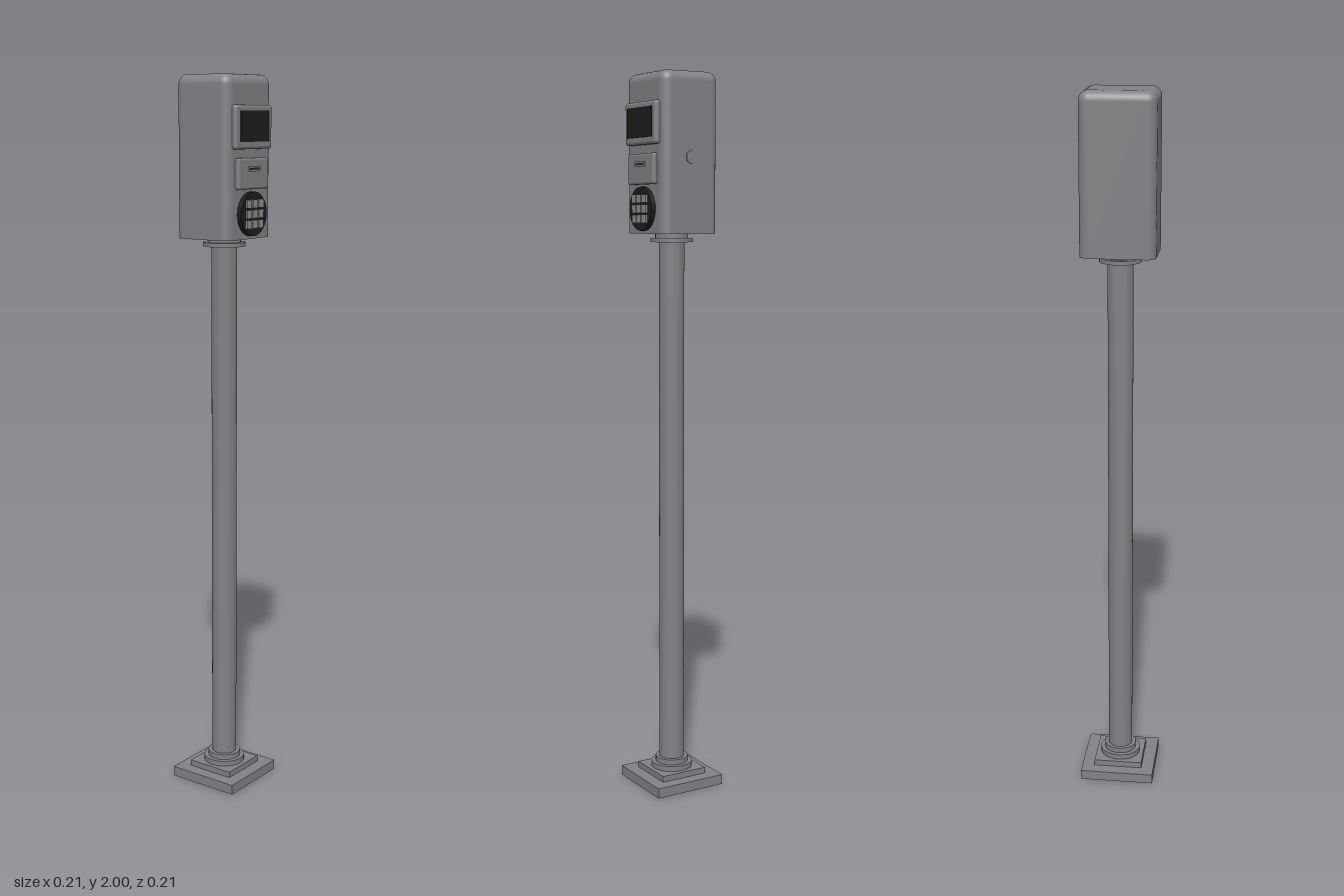
import * as THREE from 'three';
import { RoundedBoxGeometry } from 'three/addons/geometries/RoundedBoxGeometry.js';

const material = (name, color) => {
  const m = new THREE.MeshStandardMaterial({ color });
  m.name = name;
  return m;
};

// Box with rounded sides and top but a flat, sharp-edged bottom
function casingGeometry(w, h, d, r) {
  const g = new RoundedBoxGeometry(w, h + r, d, 5, r);
  const p = g.attributes.position, n = g.attributes.normal;
  const floor = -(h + r) / 2 + r;
  for (let i = 0; i < p.count; i++) if (p.getY(i) < floor) p.setY(i, floor);
  for (let i = 0; i < p.count; i += 3) {
    const flat = [0, 1, 2].every(k => p.getY(i + k) < floor + 1e-5);
    if (flat) for (let k = 0; k < 3; k++) n.setXYZ(i + k, 0, -1, 0);
  }
  return g.translate(0, -floor, 0);
}

export function createModel() {
  const model = new THREE.Group();
  model.name = 'payPost';
  const grey = material('painted grey', 0x808285);
  const plateGrey = material('base grey', 0x828287);
  const black = material('display black', 0x1b1d1d);
  const keyGrey = material('key grey', 0x8c8e90);

  const add = (name, geometry, mat, x, y, z, parent = model) => {
    const mesh = new THREE.Mesh(geometry, mat);
    mesh.name = name;
    mesh.position.set(x, y, z);
    parent.add(mesh);
    return mesh;
  };
  const box = (name, w, h, d, mat, x, y, z, parent) =>
    add(name, new THREE.BoxGeometry(w, h, d), mat, x, y, z, parent);
  const ring = (name, r, y0, y1, mat) =>
    add(name, new THREE.CylinderGeometry(r, r, y1 - y0, 32), mat, 0, (y0 + y1) / 2, 0);

  // Stepped foot
  box('basePlate', 0.212, 0.028, 0.212, plateGrey, 0, 0.014, 0);
  box('baseStep', 0.14, 0.017, 0.14, plateGrey, 0, 0.0365, 0);
  ring('footFlange', 0.058, 0.045, 0.06, grey);
  ring('footCollar', 0.046, 0.06, 0.075, grey);

  // Post and upper collar
  ring('post', 0.035, 0.07, 1.56, grey);
  ring('headFlange', 0.058, 1.547, 1.558, grey);
  ring('headCollar', 0.045, 1.555, 1.572, grey);

  // Head casing
  add('casing', casingGeometry(0.204, 0.43, 0.174, 0.026), grey, 0, 1.57, -0.001);

  // Display with its raised bezel
  add('displayBezel', new RoundedBoxGeometry(0.164, 0.114, 0.028, 3, 0.008), grey, 0, 1.864, 0.086);
  box('display', 0.13, 0.08, 0.003, black, 0, 1.866, 0.1005);

  // Card reader panel and slot
  add('cardPanel', new RoundedBoxGeometry(0.136, 0.082, 0.026, 3, 0.006), grey, 0, 1.743, 0.086);
  box('slotFrame', 0.05, 0.014, 0.003, grey, 0, 1.756, 0.1);
  box('cardSlot', 0.04, 0.005, 0.002, black, 0, 1.756, 0.1012);

  // Round keypad with a grid of nine keys
  const keypad = new THREE.Group();
  keypad.name = 'keypad';
  keypad.position.set(0, 1.637, 0);
  model.add(keypad);
  add('keypadDisc', new THREE.CylinderGeometry(0.059, 0.059, 0.016, 32).rotateX(Math.PI / 2),
    black, 0, 0, 0.091, keypad);
  for (let row = -1; row <= 1; row++)
    for (let col = -1; col <= 1; col++)
      box('key', 0.022, 0.022, 0.008, keyGrey, col * 0.027, row * 0.027, 0.1, keypad);

  // Lock on the left side
  add('lock', new THREE.CylinderGeometry(0.018, 0.018, 0.006, 20).rotateZ(Math.PI / 2),
    grey, 0.102, 1.773, -0.002);

  return model;
}
